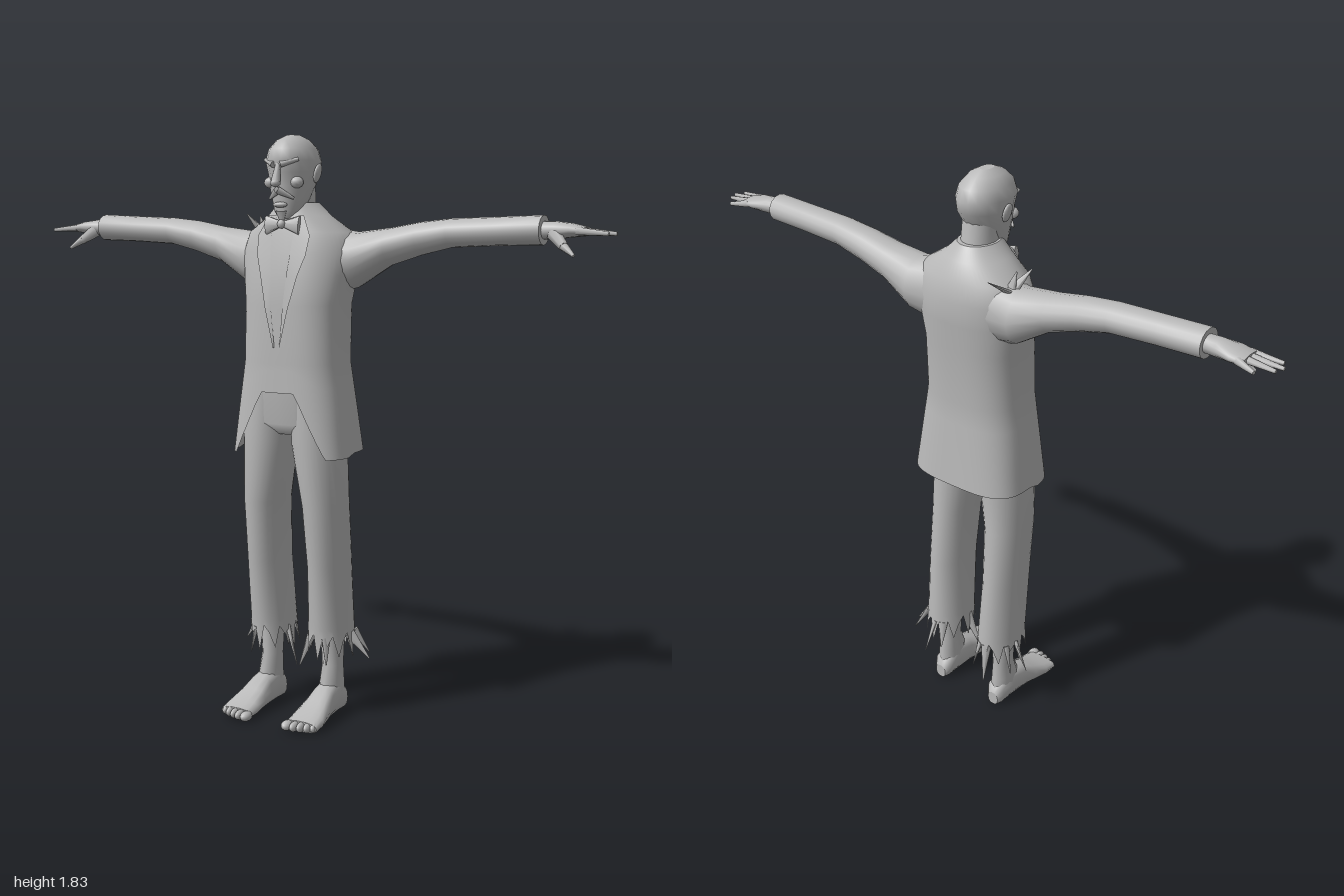
import * as THREE from 'three';

const grey = new THREE.MeshStandardMaterial({ color: 0xb8b8b8, side: THREE.DoubleSide });
grey.name = 'plain grey';
const V = (x, y, z) => new THREE.Vector3(x, y, z);

function add(parent, name, geometry) {
  const m = new THREE.Mesh(geometry, grey);
  m.name = name;
  parent.add(m);
  return m;
}

// Skin a list of point rings; optional end caps and open strips
function loft(rings, { capStart = true, capEnd = true, closed = true } = {}) {
  const n = rings[0].length, pos = [], idx = [];
  rings.forEach(r => r.forEach(p => pos.push(p.x, p.y, p.z)));
  for (let i = 0; i < rings.length - 1; i++)
    for (let j = 0; j < (closed ? n : n - 1); j++) {
      const k = (j + 1) % n, a = i * n + j, b = i * n + k, c = a + n, d = b + n;
      idx.push(a, c, b, b, c, d);
    }
  const cap = (ring, flip) => {
    const s = pos.length / 3, c = V(0, 0, 0);
    ring.forEach(p => { pos.push(p.x, p.y, p.z); c.addScaledVector(p, 1 / n); });
    pos.push(c.x, c.y, c.z);
    for (let j = 0; j < n; j++) {
      const k = (j + 1) % n;
      idx.push(...(flip ? [s + k, s + j, s + n] : [s + j, s + k, s + n]));
    }
  };
  if (closed && capStart) cap(rings[0], false);
  if (closed && capEnd) cap(rings[rings.length - 1], true);
  const g = new THREE.BufferGeometry();
  g.setAttribute('position', new THREE.Float32BufferAttribute(pos, 3));
  g.setIndex(idx);
  g.computeVertexNormals();
  return g;
}

const pw = (v, e) => Math.sign(v) * Math.abs(v) ** e;
const angles = n => Array.from({ length: n }, (_, i) => i / n * Math.PI * 2);

// Level ring: half width, front and back depth, roundness exponent (1 = ellipse)
function level(a, y, cx, rx, zf, zb, e = 1) {
  return V(cx + rx * pw(Math.cos(a), e), y, (zf + zb) / 2 + (zf - zb) / 2 * pw(Math.sin(a), e));
}
const levels = (rows, n = 16) => rows.map(r => angles(n).map(a => level(-a, ...r)));

// Rows of numbers interpolated by their first entry
function sample(rows, y) {
  let i = 0;
  while (i < rows.length - 2 && rows[i + 1][0] < y) i++;
  const t = THREE.MathUtils.clamp((y - rows[i][0]) / (rows[i + 1][0] - rows[i][0]), 0, 1);
  return rows[i].map((v, k) => v + (rows[i + 1][k] - v) * t);
}

// Tapered limb between two points
function spike(parent, name, a, b, r0, r1, flat = 1) {
  const d = b.clone().sub(a);
  const m = add(parent, name, new THREE.CylinderGeometry(r1, r0, d.length(), 7));
  m.position.copy(a).add(b).multiplyScalar(0.5);
  m.quaternion.setFromUnitVectors(V(0, 1, 0), d.normalize());
  m.scale.z = flat;
  return m;
}

function ball(parent, name, x, y, z, sx, sy, sz) {
  const m = add(parent, name, new THREE.SphereGeometry(1, 12, 8));
  m.position.set(x, y, z);
  m.scale.set(sx, sy, sz);
  return m;
}

// Jacket profile: y, half width, front z, back z, roundness
const JACKET = [
  [0.86, 0.2, 0.105, -0.18, 0.6], [1.0, 0.185, 0.1, -0.168, 0.68], [1.15, 0.166, 0.095, -0.156, 0.75],
  [1.33, 0.166, 0.095, -0.168, 0.8], [1.42, 0.185, 0.085, -0.18, 0.9], [1.49, 0.195, 0.075, -0.182, 1],
  [1.55, 0.175, 0.062, -0.168, 1], [1.6, 0.1, 0.052, -0.14, 1], [1.64, 0.06, 0.035, -0.11, 1],
];
const onJacket = (a, y) => {
  const [, rx, zf, zb, e] = sample(JACKET, y);
  return level(a, y, 0, rx, zf, zb, e);
};

function buildJacket(root) {
  const n = 64, list = angles(n).map(a => -a);
  // Hem swoops up to a cutaway at the middle of the front
  const hem = a => {
    if (Math.sin(a) <= 0) return 0.87;
    const x = Math.abs(onJacket(a, 0.95).x);
    return 1.06 - 0.2 * THREE.MathUtils.clamp((x - 0.07) / 0.08, 0, 1);
  };
  const rings = [0, 0.25, 0.5, 0.75].map(t => list.map(a => onJacket(a, hem(a) + (1.15 - hem(a)) * t)));
  JACKET.slice(2).forEach(r => rings.push(list.map(a => onJacket(a, r[0]))));
  add(root, 'jacket', loft(rings, { capStart: false }));

  for (const s of [1, -1]) {
    // Lapel: a thin strip lying on the chest
    const strip = [1.2, 1.32, 1.42, 1.48, 1.54, 1.6].map((y, i) => [0.02, 0.02 + [0.01, 0.1, 0.2, 0.28, 0.32, 0.4][i]]
      .map((d, k) => onJacket(Math.PI / 2 - s * (d + i * 0.05), y).add(V(0, 0, 0.004 + 0.004 * k))));
    add(root, 'lapel', loft(strip, { closed: false }));
    // Bow tie half
    const bow = spike(root, 'bowTie', V(s * 0.005, 1.575, 0.067), V(s * 0.058, 1.572, 0.062), 0.01, 0.03);
    bow.scale.x = bow.scale.z = 1;
    bow.geometry.scale(1, 1, 0.35);
  }
  ball(root, 'bowTieKnot', 0, 1.575, 0.07, 0.013, 0.014, 0.012);
  // Torn cloth on the right shoulder
  [[-0.205, 1.605, -0.06], [-0.175, 1.6, -0.09], [-0.15, 1.595, -0.19]].forEach(p =>
    spike(root, 'shoulderTear', V(-0.16, 1.535, -0.1), V(...p), 0.02, 0.002, 0.4));
}

function buildHead(root) {
  const head = new THREE.Group();
  head.name = 'head';
  root.add(head);
  add(head, 'neck', loft(levels([[1.54, 0, 0.07, 0.04, -0.12], [1.62, 0, 0.052, 0.025, -0.1], [1.7, 0, 0.055, 0.03, -0.085]])));
  add(head, 'skull', loft(levels([
    [1.59, 0, 0.018, 0.068, 0.02], [1.615, 0, 0.042, 0.074, -0.02], [1.65, 0, 0.055, 0.076, -0.055],
    [1.69, 0, 0.067, 0.083, -0.08], [1.73, 0, 0.075, 0.086, -0.105], [1.765, 0, 0.079, 0.1, -0.11],
    [1.8, 0, 0.07, 0.088, -0.098], [1.828, 0, 0.047, 0.058, -0.065], [1.843, 0, 0.018, 0.022, -0.03]], 18)));
  spike(head, 'nose', V(0, 1.755, 0.088), V(0, 1.7, 0.104), 0.008, 0.016);
  ball(head, 'noseTip', 0, 1.698, 0.104, 0.016, 0.013, 0.016);
  ball(head, 'lowerLip', 0, 1.633, 0.076, 0.024, 0.009, 0.016);
  spike(head, 'goatee', V(0, 1.615, 0.07), V(0, 1.572, 0.065), 0.02, 0.003, 0.6);
  for (const s of [1, -1]) {
    spike(head, 'brow', V(s * 0.012, 1.752, 0.096), V(s * 0.058, 1.768, 0.066), 0.01, 0.006);
    ball(head, 'cheekbone', s * 0.045, 1.7, 0.055, 0.022, 0.018, 0.02);
    spike(head, 'moustache', V(0, 1.676, 0.092), V(s * 0.042, 1.652, 0.066), 0.012, 0.004);
    const ear = ball(head, 'ear', s * 0.08, 1.728, -0.012, 0.009, 0.03, 0.019);
    ear.rotation.z = -s * 0.25;
  }
}

function buildArm(side) {
  // Sleeve sections: x, centre y, half height, centre z, half depth
  const cross = ([x, y, ry, z, rz]) => angles(16).map(a => V(x, y + ry * Math.cos(a), z + rz * Math.sin(a)));
  add(side, 'sleeve', loft([
    [0.08, 1.46, 0.11, -0.065, 0.09], [0.19, 1.467, 0.085, -0.078, 0.083], [0.3, 1.508, 0.057, -0.08, 0.066],
    [0.4, 1.533, 0.05, -0.08, 0.058], [0.5, 1.55, 0.043, -0.078, 0.054], [0.65, 1.556, 0.042, -0.076, 0.05],
    [0.785, 1.56, 0.043, -0.075, 0.047]].map(cross)));
  add(side, 'palm', loft([
    [0.77, 1.56, 0.026, -0.077, 0.028], [0.82, 1.56, 0.026, -0.077, 0.034], [0.87, 1.56, 0.02, -0.08, 0.046],
    [0.91, 1.557, 0.013, -0.08, 0.043]].map(cross)));
  // Fingers: knuckle z, tip x, tip z
  [[-0.048, 0.985, -0.04], [-0.07, 1, -0.068], [-0.092, 0.99, -0.095], [-0.113, 0.95, -0.135]].forEach(([z, tx, tz]) =>
    spike(side, 'finger', V(0.89, 1.558, z), V(tx, 1.551, tz), 0.012, 0.006));
  spike(side, 'thumb', V(0.82, 1.55, -0.06), V(0.86, 1.515, -0.03), 0.022, 0.014);
  spike(side, 'thumbTip', V(0.855, 1.519, -0.033), V(0.895, 1.49, -0.014), 0.014, 0.005);
}

function buildLeg(side) {
  // Trouser rows: y, centre x, half width, front z, back z
  const rows = [[0.2, 0.108, 0.076, 0.03, -0.16], [0.3, 0.108, 0.069, 0.03, -0.153], [0.5, 0.111, 0.062, 0.053, -0.14],
    [0.7, 0.107, 0.068, 0.073, -0.12], [0.9, 0.088, 0.084, 0.086, -0.115], [1.12, 0.08, 0.08, 0.08, -0.12]];
  const n = 28, ragged = [0.2, 0.27, 0.25, 0.28, 0.21, 0.26, 0.285];
  const hem = angles(n).map((a, i) => level(-a, ...sample(rows, ragged[i % 7])));
  add(side, 'trouserLeg', loft([hem, ...levels(rows.slice(1), n)], { capStart: false }));
  // Torn strips hanging off the hem
  [[0.17, -0.07, 0.232, 0.195, -0.09], [0.165, -0.11, 0.205, 0.2, -0.14], [0.05, -0.05, 0.005, 0.15, -0.035],
    [0.11, -0.145, 0.125, 0.16, -0.182], [0.08, -0.14, 0.07, 0.19, -0.165], [0.13, 0.015, 0.14, 0.19, 0.03]]
    .forEach(([x, z, tx, ty, tz]) => spike(side, 'tornStrip', V(x, 0.275, z), V(tx, ty, tz), 0.018, 0.002, 0.45));
  // Bare shin and foot
  add(side, 'shin', loft(levels([[0.05, 0.115, 0.036, -0.005, -0.11], [0.11, 0.115, 0.036, 0, -0.108],
    [0.17, 0.114, 0.033, -0.022, -0.1], [0.33, 0.112, 0.04, -0.01, -0.11]], 12)));
  const sole = ([z, x, rx, top]) => angles(14).map(a =>
    V(x + rx * pw(Math.cos(a), 0.8), 0.008 + (top - 0.008) * (0.5 + 0.5 * pw(Math.sin(a), 0.8)), z));
  add(side, 'foot', loft([[-0.118, 0.115, 0.02, 0.055], [-0.1, 0.115, 0.034, 0.09], [-0.05, 0.115, 0.038, 0.125],
    [0.01, 0.116, 0.042, 0.108], [0.06, 0.118, 0.05, 0.08], [0.11, 0.12, 0.057, 0.056], [0.155, 0.12, 0.056, 0.042]].map(sole)));
  [[0.076, 0.175, 0.018], [0.101, 0.173, 0.013], [0.122, 0.167, 0.012], [0.143, 0.16, 0.012], [0.162, 0.15, 0.012]]
    .forEach(([x, z, r]) => ball(side, 'toe', x, 0.025, z - 0.01, r, 0.016, 0.025));
}

export function createModel() {
  const root = new THREE.Group();
  root.name = 'raggedFigure';
  buildJacket(root);
  buildHead(root);
  // Seat of the trousers under the jacket
  add(root, 'trouserSeat', loft(levels([[0.925, 0, 0.06, 0.05, -0.09, 0.8], [0.96, 0, 0.15, 0.083, -0.12, 0.8],
    [1.15, 0, 0.15, 0.085, -0.13, 0.8]], 24)));
  for (const s of [1, -1]) {
    const side = new THREE.Group();
    side.name = s > 0 ? 'leftLimbs' : 'rightLimbs';
    side.scale.x = s;
    buildArm(side);
    buildLeg(side);
    root.add(side);
  }
  return root;
}
